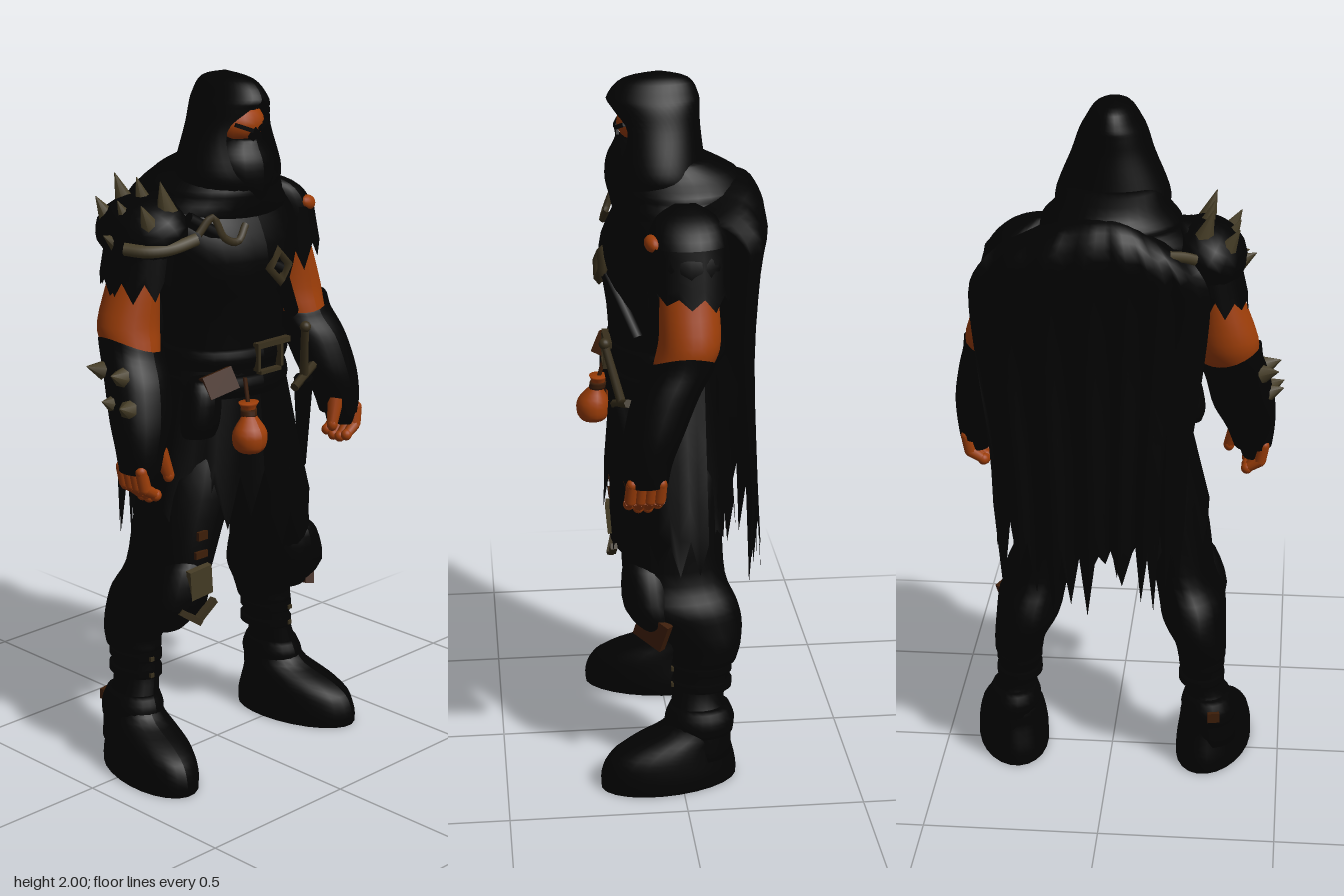
import * as THREE from 'three';

const material = (name, color, side = THREE.FrontSide) => {
  const m = new THREE.MeshStandardMaterial({ color, side });
  m.name = name;
  return m;
};
const V = (p) => new THREE.Vector3(...p);

export function createModel() {
  const model = new THREE.Group();
  const cloth = material('black cloth', 0x020202, THREE.DoubleSide);
  const skin = material('orange skin', 0x9c3d08);
  const metal = material('dull bronze', 0x463d26);
  const darkMetal = material('dark bronze', 0x382f1c);
  const leather = material('brown leather', 0x3c1d08);

  let seed = 7;
  const rnd = () => (seed = (seed * 16807) % 2147483647) / 2147483647;

  const add = (name, geo, mat, pos = [0, 0, 0], rot = [0, 0, 0], scale = [1, 1, 1]) => {
    const mesh = new THREE.Mesh(geo, mat);
    mesh.name = name;
    mesh.position.set(...pos);
    mesh.rotation.set(...rot);
    mesh.scale.set(...scale);
    model.add(mesh);
    return mesh;
  };
  const box = (name, size, mat, pos, rot) => add(name, new THREE.BoxGeometry(...size), mat, pos, rot);
  const ball = (name, size, mat, pos, rot) => add(name, new THREE.SphereGeometry(1, 16, 12), mat, pos, rot, size);
  // Tapered rod from a to b
  const rod = (name, a, b, ra, rb, mat, sides = 8) => {
    const d = V(b).sub(V(a));
    const mesh = add(name, new THREE.CylinderGeometry(rb, ra, d.length(), sides), mat);
    mesh.position.copy(V(a).addScaledVector(d, 0.5));
    mesh.quaternion.setFromUnitVectors(new THREE.Vector3(0, 1, 0), d.normalize());
  };
  // Smooth interpolation between rows of numbers
  const sample = (rows, t) => {
    const f = t * (rows.length - 1), i = Math.min(Math.floor(f), rows.length - 2), k = f - i;
    const r = (j) => rows[Math.max(0, Math.min(rows.length - 1, j))];
    return rows[0].map((_, c) => {
      const a = r(i - 1)[c], b = r(i)[c], d = r(i + 1)[c], e = r(i + 2)[c];
      return b + 0.5 * k * (d - a + k * (2 * a - 5 * b + 4 * d - e + k * (3 * (b - d) + e - a)));
    });
  };
  // Grid surface: u runs counter-clockwise seen from above, v runs upward
  const sheet = (name, mat, nu, nv, fn) => {
    const pos = [], idx = [];
    for (let i = 0; i <= nv; i++) for (let j = 0; j <= nu; j++) pos.push(...fn(j / nu, i / nv, j, i));
    for (let i = 0; i < nv; i++) for (let j = 0; j < nu; j++) {
      const a = i * (nu + 1) + j, c = a + nu + 1;
      idx.push(a, a + 1, c, a + 1, c + 1, c);
    }
    const geo = new THREE.BufferGeometry();
    geo.setAttribute('position', new THREE.Float32BufferAttribute(pos, 3));
    geo.setIndex(idx);
    geo.computeVertexNormals();
    return add(name, geo, mat);
  };
  // Closed body from horizontal ellipses [x, y, z, rx, rz], bottom to top
  const loft = (name, mat, rows, nu = 24) => {
    const nv = (rows.length - 1) * 3;
    return sheet(name, mat, nu, nv + 2, (u, _, j, i) => {
      const [x, y, z, rx, rz] = sample(rows, Math.max(0, Math.min(1, (i - 1) / nv)));
      const k = i === 0 || i === nv + 2 ? 0 : 1, a = u * Math.PI * 2;
      return [x + Math.sin(a) * rx * k, y, z + Math.cos(a) * rz * k];
    });
  };
  const side = (s, rows) => rows.map(([x, ...rest]) => [s * x, ...rest]);
  const tube = (name, mat, pts, r) => add(name, new THREE.TubeGeometry(new THREE.CatmullRomCurve3(pts.map(V)), 18, r, 6), mat);
  // Torn hem: every second column hangs lower
  const hem = (n, depth) => Array.from({ length: n + 1 }, (_, j) => (j % 2 ? 0.4 + 0.6 * rnd() : 0.25 * rnd()) * depth);

  // Torso and belts
  loft('torso', cloth, [[0, 0.84, 0, 0.17, 0.13], [0, 1, 0, 0.2, 0.15], [0, 1.2, 0.02, 0.185, 0.15],
    [0, 1.35, 0.025, 0.19, 0.155], [0, 1.5, 0.02, 0.235, 0.18], [0, 1.6, 0, 0.25, 0.165],
    [0, 1.67, -0.02, 0.2, 0.14], [0, 1.76, 0, 0.12, 0.11]], 32);
  for (const y of [1.14, 1.22])
    loft('belt', cloth, [[0, y - 0.03, 0.015, 0.2, 0.165], [0, y, 0.015, 0.207, 0.172], [0, y + 0.03, 0.015, 0.2, 0.165]], 32);
  box('belt buckle top', [0.13, 0.016, 0.02], darkMetal, [0.035, 1.252, 0.182]);
  box('belt buckle bottom', [0.08, 0.01, 0.02], darkMetal, [0.02, 1.175, 0.185]);
  for (const x of [-0.025, 0.065]) box('belt buckle side', [0.01, 0.07, 0.02], darkMetal, [x, 1.215, 0.183]);

  // Chest ornaments and strap
  add('chest diamond', new THREE.TorusGeometry(0.042, 0.017, 4, 4), darkMetal, [0.045, 1.472, 0.196], [-0.12, 0.1, 0]);
  rod('chest strap', [-0.22, 1.63, 0.11], [0.06, 1.46, 0.185], 0.02, 0.02, cloth);
  rod('chest strap', [0.06, 1.46, 0.185], [0.19, 1.3, 0.11], 0.02, 0.02, cloth);
  tube('chest clasp', darkMetal, [[-0.21, 1.59, 0.14], [-0.16, 1.63, 0.145], [-0.14, 1.575, 0.17], [-0.1, 1.56, 0.18], [-0.06, 1.6, 0.17]], 0.011);

  // Cowl around the neck with folds
  loft('cowl', cloth, [[0, 1.56, -0.03, 0.2, 0.17], [0, 1.62, -0.03, 0.235, 0.19], [0, 1.665, -0.02, 0.2, 0.19],
    [0, 1.69, -0.02, 0.19, 0.19], [0, 1.73, -0.01, 0.15, 0.17], [0, 1.77, 0.02, 0.13, 0.12]], 32);

  // Head, mask and hood with a front opening
  loft('head', cloth, [[0, 1.7, 0.03, 0.09, 0.09], [0, 1.8, 0.035, 0.09, 0.09], [0, 1.9, 0.04, 0.08, 0.09], [0, 1.96, 0.04, 0.05, 0.06]]);
  ball('face', [0.085, 0.065, 0.088], skin, [0, 1.862, 0.06]);
  loft('face mask', cloth, [[0, 1.63, 0.06, 0.05, 0.1], [0, 1.7, 0.06, 0.1, 0.12], [0, 1.76, 0.06, 0.108, 0.118],
    [0, 1.8, 0.055, 0.09, 0.105], [0, 1.825, 0.05, 0.06, 0.1]]);
  for (const s of [-1, 1]) box('eye', [0.055, 0.011, 0.009], cloth, [s * 0.037, 1.858, 0.141], [0, s * 0.4, s * 0.35]);
  box('nose band', [0.035, 0.035, 0.008], cloth, [0, 1.832, 0.146], [0, 0, Math.PI / 4]);
  // Rows of height, half width, centre z, half depth, opening angle
  const hood = [[1.66, 0.13, 0.03, 0.12, 0.05], [1.7, 0.157, 0.035, 0.14, 0.3], [1.75, 0.156, 0.04, 0.135, 0.6],
    [1.85, 0.115, 0.04, 0.122, 0.82], [1.905, 0.096, 0.045, 0.125, 0.42], [1.935, 0.08, 0.048, 0.125, 0.02],
    [1.98, 0.05, 0.04, 0.09, 0], [2, 0.001, 0.03, 0.001, 0]];
  sheet('hood', cloth, 36, 28, (u, v) => {
    const [y, rx, z, rz, o] = sample(hood, v), a = Math.max(o, 0) + u * (Math.PI * 2 - 2 * Math.max(o, 0));
    return [Math.sin(a) * rx, y, z + Math.cos(a) * rz];
  });

  // Torn cape, wider over the left shoulder, sloping with the shoulders
  const capeHem = hem(26, 0.28);
  const capeRows = [[0.78, 0.27, 0.24], [1, 0.28, 0.228], [1.3, 0.315, 0.215], [1.52, 0.33, 0.23], [1.63, 0.3, 0.253], [1.7, 0.24, 0.225], [1.725, 0.2, 0.18], [1.74, 0.13, 0.1]];
  sheet('cape', cloth, 26, 21, (u, v, j) => {
    const [y, w, d] = sample(capeRows, v), c = 1 - 2 * u, low = Math.pow(1 - v, 3);
    const edge = Math.pow(Math.abs(c), 3) * (0.045 + 0.115 * v * v);
    const ripple = 0.012 * Math.sin(u * 40) * (1 - v);
    const drop = capeHem[j] * (c > -0.45 && c < 0.08 ? 0.4 : 1) - 0.1 * c * c;
    return [c * w + (c > 0 ? 0.05 * c : -0.05 * c), y - drop * low - 0.1 * c * c * v, edge - d + ripple];
  });

  // Coat skirt with torn hem
  const skirtHem = hem(40, 0.17);
  sheet('coat skirt', cloth, 40, 8, (u, v, j) => {
    const a = u * Math.PI * 2, k = 1 - v, fold = 1 + 0.05 * k * Math.sin(a * 9);
    const split = 0.13 * Math.max(0, Math.cos(a));
    return [Math.sin(a) * (0.195 + 0.085 * k) * fold, 1.2 - k * (0.42 - split + skirtHem[j % 40]), 0.005 + Math.cos(a) * (0.16 + 0.025 * k) * fold];
  });
  const tailHem = hem(12, 0.2);
  sheet('left coat tail', cloth, 12, 5, (u, v, j) => {
    const a = 0.12 + u * 1.9, k = 1 - v;
    return [Math.sin(a) * (0.2 + 0.14 * k), 1.15 - k * (0.38 + tailHem[j]), Math.cos(a) * 0.18];
  });

  for (const s of [-1, 1]) {
    const pre = s > 0 ? 'left ' : 'right ';
    // Legs and boots
    loft(pre + 'trouser leg', cloth, side(s, [[0.27, 0.36, -0.07, 0.07, 0.09], [0.265, 0.41, -0.075, 0.075, 0.1],
      [0.245, 0.47, -0.04, 0.093, 0.14], [0.235, 0.53, -0.01, 0.097, 0.155], [0.21, 0.6, 0.01, 0.09, 0.145],
      [0.175, 0.73, 0.015, 0.11, 0.145], [0.125, 0.88, 0.01, 0.125, 0.15], [0.1, 1, 0, 0.09, 0.13]]));
    loft(pre + 'knee guard', cloth, side(s, [[0.25, 0.44, 0.04, 0.06, 0.05], [0.24, 0.52, 0.08, 0.095, 0.075], [0.225, 0.62, 0.09, 0.075, 0.07], [0.22, 0.66, 0.09, 0.04, 0.05]]));
    loft(pre + 'boot shaft', cloth, side(s, [[0.295, 0.08, -0.055, 0.08, 0.09], [0.293, 0.18, -0.055, 0.073, 0.088], [0.282, 0.24, -0.05, 0.06, 0.075],
      [0.27, 0.3, -0.06, 0.058, 0.078], [0.268, 0.38, -0.07, 0.068, 0.088]]));
    loft(pre + 'boot cuff', cloth, side(s, [[0.295, 0.15, -0.055, 0.076, 0.095], [0.29, 0.19, -0.055, 0.08, 0.1], [0.287, 0.23, -0.055, 0.066, 0.085]]));
    const foot = loft(pre + 'boot', cloth, [[0, 0, 0, 0.105, 0.2], [0, 0.04, 0, 0.105, 0.2], [0, 0.09, -0.005, 0.098, 0.183],
      [0, 0.125, -0.03, 0.09, 0.15], [0, 0.16, -0.075, 0.08, 0.105], [0, 0.2, -0.085, 0.07, 0.08]]);
    foot.position.set(s * 0.305, 0, 0.035);
    foot.rotation.y = s * 0.2;
    for (const y of [0.29, 0.34]) {
      loft(pre + 'shin strap', cloth, side(s, [[0.27, y - 0.012, -0.063, 0.067, 0.086], [0.27, y + 0.012, -0.063, 0.067, 0.086]]));
      box(pre + 'shin buckle', [0.014, 0.012, 0.008], darkMetal, [s * 0.285, y, 0.022]);
    }

    // Arms
    loft(pre + 'upper arm', skin, side(s, [[0.34, 1.2, 0.03, 0.065, 0.065], [0.328, 1.28, -0.005, 0.082, 0.082],
      [0.322, 1.34, -0.02, 0.088, 0.084], [0.303, 1.44, -0.02, 0.07, 0.08], [0.28, 1.52, -0.02, 0.065, 0.075]]));
    // The bracer cuff dips at the front and back
    const bracer = [[0.4, 0.96, 0.105, 0.055, 0.06], [0.392, 1.02, 0.1, 0.07, 0.068],
      [0.372, 1.1, 0.08, 0.09, 0.082], [0.352, 1.2, 0.045, 0.091, 0.09], [0.335, 1.26, 0.01, 0.09, 0.09], [0.33, 1.295, -0.002, 0.09, 0.09]];
    sheet(pre + 'bracer', cloth, 24, 16, (u, v) => {
      const [x, y, z, rx, rz] = sample(bracer, v), a = u * Math.PI * 2;
      return [s * x + Math.sin(a) * rx, y + (s * Math.sin(a) * 0.02 - 0.02 * Math.cos(a) ** 2) * v ** 3, z + Math.cos(a) * rz];
    });
    // Hands
    loft(pre + 'glove palm', cloth, side(s, [[0.4, 0.925, 0.11, 0.03, 0.045], [0.4, 0.96, 0.11, 0.042, 0.052], [0.395, 1, 0.105, 0.05, 0.055]]), 14);
    for (let i = 0; i < 4; i++) {
      const z = 0.068 + i * 0.026, drop = 0.01 * Math.abs(i - 1.5);
      const b = [s * 0.432, 0.97, z], k = [s * 0.422, 0.92, z + 0.004], e = [s * 0.385, 0.88 + drop, z + 0.006];
      rod(pre + 'finger', b, k, 0.017, 0.018, skin);
      rod(pre + 'finger tip', k, e, 0.018, 0.014, skin);
      for (const p of [b, k, e]) ball(pre + 'finger joint', [0.017, 0.017, 0.016], skin, p);
    }
    rod(pre + 'thumb', [s * 0.355, 1.01, 0.135], [s * 0.33, 0.94, 0.145], 0.024, 0.016, skin);
    ball(pre + 'thumb tip', [0.016, 0.02, 0.016], skin, [s * 0.33, 0.938, 0.145]);

    // Torn sleeve
    loft(pre + 'shoulder', cloth, side(s, [[0.285, 1.47, -0.02, 0.08, 0.095], [0.275, 1.54, -0.02, 0.088, 0.11],
      [0.255, 1.61, -0.02, 0.08, 0.105], [0.23, 1.655, -0.02, 0.055, 0.08], [0.2, 1.68, -0.02, 0.02, 0.03]]));
    const sleeveHem = hem(20, 0.08);
    sheet(pre + 'torn sleeve', cloth, 20, 5, (u, v, j) => {
      const a = u * Math.PI * 2, k = 1 - v;
      return [s * 0.268 + s * 0.024 * k + Math.sin(a) * (0.083 + 0.006 * k), 1.59 - k * (0.11 + sleeveHem[j % 20]), -0.02 + Math.cos(a) * 0.112];
    });
  }

  // Skin showing through the left sleeve
  ball('sleeve tear', [0.032, 0.022, 0.02], skin, [0.285, 1.597, 0.077], [-0.2, 0.35, -0.2]);

  // Spiked pauldron
  ball('pauldron', [0.11, 0.09, 0.15], cloth, [-0.27, 1.59, -0.02], [0, 0, 0.5]);
  const spike = (base, tip, r) => rod('spike', base, tip, r, 0.001, metal, 7);
  for (const z of [-0.1, -0.02, 0.065]) {
    spike([-0.255, 1.645, z], [-0.285, 1.735, z * 1.1], 0.031);
    spike([-0.315, 1.61, z], [-0.355, 1.68, z * 1.1], 0.031);
  }
  spike([-0.35, 1.56, -0.03], [-0.4, 1.59, -0.03], 0.026);
  tube('pauldron rim', metal, [[-0.38, 1.56, 0.03], [-0.345, 1.555, 0.08], [-0.29, 1.56, 0.118], [-0.22, 1.58, 0.145]], 0.018);
  tube('pauldron rim', metal, [[-0.24, 1.61, -0.165], [-0.21, 1.62, -0.175], [-0.17, 1.625, -0.185]], 0.015);
  // Bracer spikes
  for (const [x, y, z] of [[-0.425, 1.225, -0.01], [-0.43, 1.22, 0.07], [-0.44, 1.145, 0.05], [-0.44, 1.14, 0.105]])
    spike([x, y, z], [x - 0.045, y + 0.015, z + (z - 0.05) * 0.3], 0.028);

  // Pouches
  loft('side pouch', cloth, [[-0.2, 1.02, 0.13, 0.05, 0.04], [-0.2, 1.06, 0.135, 0.06, 0.05], [-0.19, 1.14, 0.135, 0.055, 0.05], [-0.185, 1.18, 0.13, 0.04, 0.035]]);
  box('pouch flap', [0.09, 0.065, 0.035], leather, [-0.165, 1.172, 0.175], [-0.35, -0.4, 0.15]);
  loft('coin pouch', skin, [[-0.085, 0.968, 0.215, 0.032, 0.032], [-0.085, 0.985, 0.215, 0.048, 0.045], [-0.085, 1.025, 0.215, 0.05, 0.046],
    [-0.08, 1.062, 0.208, 0.026, 0.024], [-0.075, 1.08, 0.2, 0.018, 0.018], [-0.075, 1.105, 0.2, 0.032, 0.026]], 14);
  loft('pouch tie', leather, [[-0.077, 1.066, 0.203, 0.024, 0.024], [-0.075, 1.086, 0.2, 0.024, 0.024]], 12);
  rod('pouch cord', [-0.075, 1.09, 0.2], [-0.07, 1.17, 0.18], 0.006, 0.006, leather);
  for (const x of [-0.13, 0.03, 0.16]) box('rear pouch', [0.1, 0.1, 0.05], cloth, [x, 1.12, -0.14]);

  // Dagger in its sheath
  rod('dagger grip', [0.195, 1.12, 0.155], [0.155, 1.27, 0.195], 0.013, 0.011, darkMetal);
  ball('dagger pommel', [0.016, 0.016, 0.016], darkMetal, [0.154, 1.277, 0.197]);
  rod('dagger guard', [0.14, 1.095, 0.17], [0.25, 1.135, 0.14], 0.013, 0.013, darkMetal, 6);
  rod('dagger sheath', [0.197, 1.11, 0.152], [0.26, 0.82, 0.09], 0.028, 0.012, cloth);

  // Knee trims and patches
  box('right knee plate', [0.075, 0.09, 0.02], metal, [-0.225, 0.6, 0.158], [0.1, -0.1, 0.15]);
  box('right knee trim', [0.08, 0.018, 0.02], darkMetal, [-0.255, 0.5, 0.15], [0, -0.3, -0.6]);
  box('right knee trim', [0.08, 0.018, 0.02], darkMetal, [-0.195, 0.505, 0.152], [0, 0, 0.6]);
  box('thigh patch', [0.035, 0.025, 0.01], leather, [-0.215, 0.735, 0.158]);
  box('thigh patch', [0.045, 0.02, 0.01], leather, [-0.22, 0.68, 0.158]);
  box('left knee patch', [0.1, 0.085, 0.025], leather, [0.304, 0.475, 0.08], [0, 0.85, -0.35]);
  box('ankle patch', [0.035, 0.03, 0.012], leather, [-0.31, 0.19, -0.153], [0, 0.2, 0]);

  return model;
}
